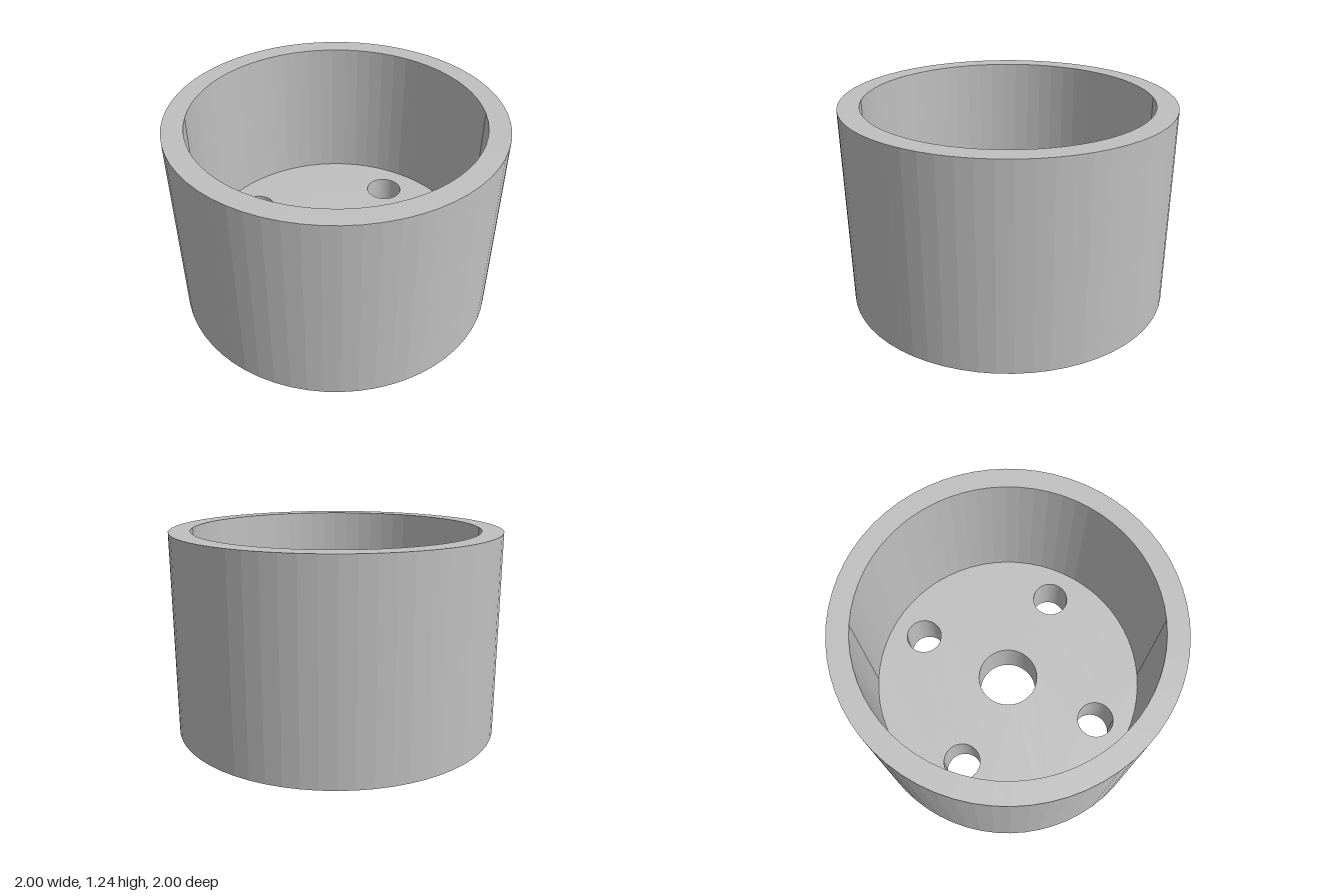
import * as THREE from 'three';

const OUTER = 1, INNER = 0.873, HEIGHT = 1.235, FLOOR = 0.3, SEGMENTS = 64;

// Bores through the floor: [x, z, radius]
const BORES = [[0, 0, 0.195]];
for (const x of [-0.46, 0.46]) for (const z of [-0.46, 0.46]) BORES.push([x, z, 0.117]);

// Faceted surface of revolution; a rising profile faces outward
function revolve(profile) {
  const points = profile.map(([r, y]) => new THREE.Vector2(r, y));
  const geometry = new THREE.LatheGeometry(points, SEGMENTS).toNonIndexed();
  geometry.computeVertexNormals();
  return geometry;
}

// Flat disc pierced by all bores, facing up (side = 1) or down (side = -1)
function piercedDisc(radius, y, side) {
  const shape = new THREE.Shape().absarc(0, 0, radius, 0, Math.PI * 2, false);
  for (const [x, z, r] of BORES) {
    shape.holes.push(new THREE.Path().absarc(x, z, r, 0, Math.PI * 2, true));
  }
  return new THREE.ShapeGeometry(shape, SEGMENTS / 2)
    .rotateX(-side * Math.PI / 2)
    .translate(0, y, 0);
}

export function createModel() {
  const group = new THREE.Group();
  group.name = 'cup';
  const grey = new THREE.MeshStandardMaterial({ color: 0xc0c0c0 });
  grey.name = 'light grey';

  function add(name, geometry) {
    const mesh = new THREE.Mesh(geometry, grey);
    mesh.name = name;
    group.add(mesh);
    return mesh;
  }

  // Outer wall, flat rim and inner wall
  add('wall', revolve([[OUTER, 0], [OUTER, HEIGHT], [INNER, HEIGHT], [INNER, FLOOR]]));

  // Thick floor with its two faces
  add('floorUnderside', piercedDisc(OUTER, 0, -1));
  add('floorTop', piercedDisc(INNER, FLOOR, 1));

  // Linings of the centre bore and the four bolt holes
  BORES.forEach(([x, z, r], i) => {
    add(i === 0 ? 'centreBore' : 'boltHole' + i, revolve([[r, FLOOR], [r, 0]]))
      .position.set(x, 0, z);
  });

  return group;
}
